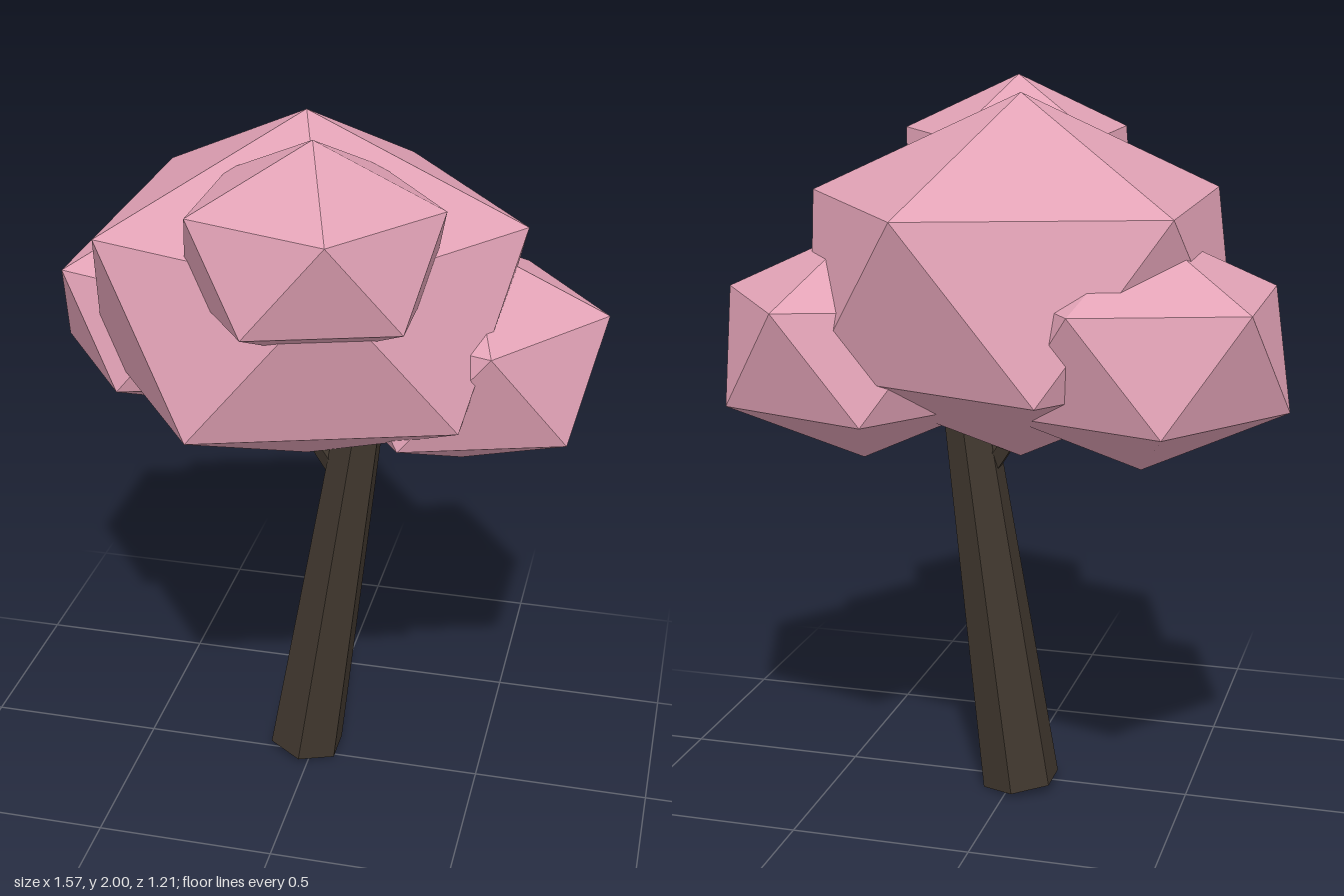
import * as THREE from 'three';

export function createModel() {
  const tree = new THREE.Group();
  tree.name = 'blossomTree';

  const blossom = new THREE.MeshStandardMaterial({ color: 0xe2a2b6, flatShading: true });
  blossom.name = 'blossomPink';
  const bark = new THREE.MeshStandardMaterial({ color: 0x40372e, flatShading: true });
  bark.name = 'darkBark';

  // Icosahedron standing on a corner, flattened to three quarters of its height
  const tilt = Math.atan(2 / (1 + Math.sqrt(5)));
  function addClump(name, radius, x, y, z) {
    const geometry = new THREE.IcosahedronGeometry(radius, 0);
    geometry.rotateZ(-tilt);
    geometry.scale(1, 0.75, 1);
    const mesh = new THREE.Mesh(geometry, blossom);
    mesh.name = name;
    mesh.position.set(x, y, z);
    tree.add(mesh);
  }

  // Tapered six-sided limb between two points
  function addLimb(name, from, to, rBottom, rTop) {
    const a = new THREE.Vector3(...from);
    const b = new THREE.Vector3(...to);
    const axis = b.clone().sub(a);
    const mesh = new THREE.Mesh(new THREE.CylinderGeometry(rTop, rBottom, axis.length(), 6), bark);
    mesh.name = name;
    mesh.position.copy(a).add(b).multiplyScalar(0.5);
    mesh.quaternion.setFromUnitVectors(new THREE.Vector3(0, 1, 0), axis.normalize());
    tree.add(mesh);
  }

  // Leaning trunk and a small side branch that reaches into the crown
  addLimb('trunk', [-0.025, 0.014, -0.043], [0.16, 1.35, -0.043], 0.112, 0.062);
  addLimb('branch', [0.11, 0.9, -0.043], [-0.15, 1.29, -0.043], 0.042, 0.035);

  // Crown
  addClump('mainCrown', 0.66, -0.025, 1.48, -0.05);
  addClump('rightClump', 0.428, -0.4, 1.342, -0.235);
  addClump('leftClump', 0.428, 0.4, 1.296, -0.14);
  addClump('topClump', 0.373, 0.07, 1.72, 0.285);

  return tree;
}
